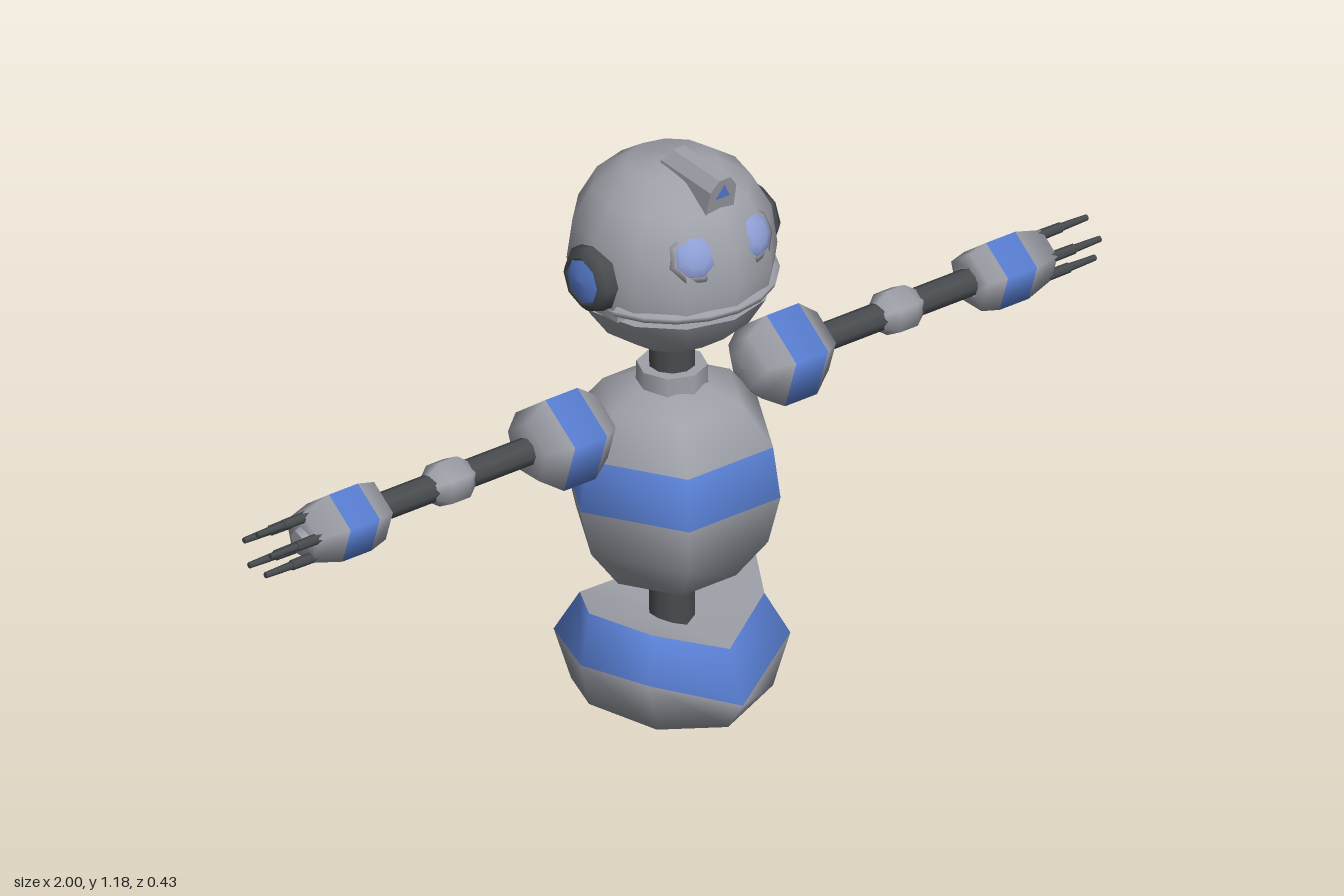
import * as THREE from 'three';
import { mergeVertices } from 'three/addons/utils/BufferGeometryUtils.js';

const material = (name, color) => {
  const m = new THREE.MeshStandardMaterial({ color });
  m.name = name;
  return m;
};

export function createModel() {
  const grey = material('grey shell', 0x9fa1a9);
  const blue = material('blue band', 0x5b82d8);
  const dark = material('dark metal', 0x484c4f);
  const eyeBlue = material('pale blue eye', 0x8e9fd6);
  const model = new THREE.Group();
  model.name = 'robot';

  function add(parent, name, geometry, mat, x = 0, y = 0, z = 0) {
    const mesh = new THREE.Mesh(geometry, mat);
    mesh.name = name;
    mesh.position.set(x, y, z);
    parent.add(mesh);
    return mesh;
  }

  // Lathe of [radius, height] pairs; isBlue(row, segment) picks the faces of the second material
  function turned(profile, sides, isBlue, start = -Math.PI / 2, length = Math.PI * 2) {
    const pts = profile.map(([r, h]) => new THREE.Vector2(r, h));
    const g = new THREE.LatheGeometry(pts, sides, start, length);
    if (isBlue) {
      const rows = pts.length - 1;
      for (let i = 0; i < sides; i++)
        for (let j = 0; j < rows; j++) g.addGroup((i * rows + j) * 6, 6, isBlue(j, i) ? 1 : 0);
    }
    return g;
  }

  // Saddle-shaped base: eight-sided rings, each given as front, diagonal and side points
  const rings = [
    { front: [0, 0.005, 0], diag: [0, 0.005, 0], side: [0, 0.005, 0] },
    { front: [0, 0.005, 0.17], diag: [0.14, 0.03, 0.13], side: [0.2, 0.05, 0] },
    { front: [0, 0.07, 0.215], diag: [0.17, 0.14, 0.145], side: [0.22, 0.14, 0] },
    { front: [0, 0.175, 0.175], diag: [0.135, 0.222, 0.11], side: [0.2, 0.245, 0] },
    { front: [0, 0.17, 0], diag: [0, 0.17, 0], side: [0, 0.17, 0] },
  ];
  const kinds = ['front', 'diag', 'side', 'diag'];
  function saddle(from, to, isBlue) {
    const part = rings.slice(from, to + 1);
    const g = turned(part.map((_, j) => [1, j]), 8, isBlue, 0);
    for (let i = 0; i <= 8; i++) {
      const sx = Math.sign(Math.round(Math.sin((i * Math.PI) / 4) * 10));
      const sz = Math.sign(Math.round(Math.cos((i * Math.PI) / 4) * 10));
      part.forEach((ring, j) => {
        const [x, y, z] = ring[kinds[i % 4]];
        g.attributes.position.setXYZ(i * part.length + j, x * sx, y, z * sz);
      });
    }
    g.deleteAttribute('uv');
    g.deleteAttribute('normal');
    const merged = mergeVertices(g);
    merged.computeVertexNormals();
    return merged;
  }
  const base = new THREE.Group();
  base.name = 'base';
  model.add(base);
  add(base, 'baseShell', saddle(0, 3, (j, i) => j === 2 && i !== 3 && i !== 4), [grey, blue]);
  add(base, 'baseTop', saddle(3, 4), grey);
  add(model, 'waist', new THREE.CylinderGeometry(0.045, 0.045, 0.13, 10), dark, 0, 0.225);

  // Six-sided torso with a belt, collar and neck
  const torso = [[0, 0.258], [0.05, 0.26], [0.13, 0.285], [0.195, 0.37], [0.22, 0.47],
    [0.205, 0.575], [0.14, 0.655], [0.06, 0.685], [0, 0.685]];
  add(model, 'torso', turned(torso, 6, (j) => j === 4), [grey, blue]);
  add(model, 'collar', new THREE.CylinderGeometry(0.068, 0.07, 0.08, 8), grey, 0, 0.677);
  add(model, 'neck', new THREE.CylinderGeometry(0.045, 0.045, 0.1, 10), dark, 0, 0.75);

  // Head: skull over a separate jaw, with an open mouth slot between
  const head = new THREE.Group();
  head.name = 'head';
  model.add(head);
  const skull = [[0.194, 0.91], [0.201, 0.96], [0.19, 1.04], [0.152, 1.108], [0.09, 1.15], [0, 1.165]];
  const jaw = [[0, 0.774], [0.05, 0.775], [0.09, 0.787], [0.155, 0.833], [0.19, 0.89]];
  const mouthAngle = 1.25;
  add(head, 'skull', turned(skull, 12), grey);
  add(head, 'jaw', turned(jaw, 12), grey);
  add(head, 'palate', new THREE.CircleGeometry(0.194, 12), grey, 0, 0.91).rotation.x = Math.PI / 2;
  add(head, 'mouthFloor', new THREE.CircleGeometry(0.19, 12), grey, 0, 0.89).rotation.x = -Math.PI / 2;
  add(head, 'nape', turned([[0.19, 0.89], [0.194, 0.91]], 8, null, mouthAngle, 2 * (Math.PI - mouthAngle)), grey);
  add(head, 'mouthBack', new THREE.BoxGeometry(0.36, 0.022, 0.01), grey, 0, 0.9, 0.056);
  const lip = [[0.175, 0.908], [0.2, 0.908], [0.204, 0.92], [0.19, 0.924]];
  add(head, 'upperLip', turned(lip, 8, null, -mouthAngle, mouthAngle * 2), grey);

  // Eyes in shallow sockets, and ear pads
  for (const s of [1, -1]) {
    const dir = new THREE.Vector3(s * 0.25, 0.36, 0.9).normalize();
    const eye = new THREE.Group();
    eye.name = s > 0 ? 'leftEye' : 'rightEye';
    eye.position.set(s * 0.07, 1.035, 0.156);
    eye.quaternion.setFromUnitVectors(new THREE.Vector3(0, 1, 0), dir);
    head.add(eye);
    add(eye, 'socket', turned([[0.056, -0.03], [0.053, 0.004], [0.042, 0.007]], 8), grey);
    add(eye, 'eyeball', new THREE.SphereGeometry(0.046, 8, 6), eyeBlue).scale.y = 0.45;

    const ear = new THREE.Group();
    ear.name = s > 0 ? 'leftEar' : 'rightEar';
    ear.position.set(s * 0.18, 0.965, 0);
    ear.rotation.z = (-s * Math.PI) / 2;
    head.add(ear);
    add(ear, 'earRing', turned([[0.067, -0.03], [0.067, 0.025], [0.052, 0.04], [0.045, 0.036]], 8), dark);
    add(ear, 'earPad', turned([[0.05, 0.034], [0.03, 0.041], [0, 0.044]], 8), blue);
  }

  // Crest: ridged bar leaning forward at its front end
  const ridge = new THREE.Shape([[-0.034, 1.1], [0.034, 1.1], [0.031, 1.165], [0.013, 1.188],
    [-0.013, 1.188], [-0.031, 1.165]].map(([x, y]) => new THREE.Vector2(x, y)));
  const crest = new THREE.ExtrudeGeometry(ridge, { depth: 0.145, bevelEnabled: false });
  const p = crest.attributes.position;
  for (let i = 0; i < p.count; i++) {
    const front = p.getZ(i) > 0.1;
    p.setZ(i, front ? 0.143 + (p.getY(i) - 1.1) * 0.2 : (1.188 - p.getY(i)) * -0.6 + 0.02);
    if (front && p.getY(i) > 1.15) p.setY(i, p.getY(i) - 0.008);
  }
  crest.computeVertexNormals();
  add(head, 'crest', crest, grey);
  const lens = add(head, 'crestLens', new THREE.CircleGeometry(0.021, 3, Math.PI / 2), blue, 0, 1.147, 0.155);
  lens.rotation.x = 0.2;

  // Arms along x; the other side is the same arm turned half round
  const shoulder = [[0, 0.168], [0.04, 0.17], [0.065, 0.185], [0.095, 0.228], [0.095, 0.305],
    [0.06, 0.35], [0, 0.35]];
  const elbow = [[0.028, 0.493], [0.047, 0.518], [0.047, 0.56], [0.028, 0.587]];
  const cuff = [[0.03, 0.715], [0.06, 0.718], [0.07, 0.757], [0.07, 0.827], [0.052, 0.89], [0, 0.89]];
  for (const s of [1, -1]) {
    const arm = new THREE.Group();
    arm.name = s > 0 ? 'leftArm' : 'rightArm';
    arm.position.y = 0.645;
    arm.rotation.y = s > 0 ? 0 : Math.PI;
    model.add(arm);
    const along = (name, g, mat, x = 0, y = 0, z = 0) => {
      add(arm, name, g, mat, x, y, z).rotation.z = -Math.PI / 2;
    };
    along('shoulder', turned(shoulder, 5, (j) => j === 3), [grey, blue]);
    along('armRod', new THREE.CylinderGeometry(0.028, 0.028, 0.4, 8), dark, 0.53);
    along('elbow', turned(elbow, 6), grey);
    along('cuff', turned(cuff, 5, (j) => j === 2), [grey, blue]);
    along('palm', new THREE.CylinderGeometry(0.018, 0.022, 0.02, 5), grey, 0.895);
    // Five fingers in a ring, each a thick knuckle and a thin tip
    for (let f = 0; f < 5; f++) {
      const a = Math.PI / 2 + (f * Math.PI * 2) / 5;
      const y = Math.sin(a) * 0.042, z = Math.cos(a) * 0.042;
      along('fingerKnuckle', new THREE.CylinderGeometry(0.01, 0.011, 0.075, 6), dark, 0.9, y, z);
      along('fingerTip', new THREE.CylinderGeometry(0.006, 0.008, 0.065, 6), dark, 0.9675, y, z);
    }
  }
  return model;
}
